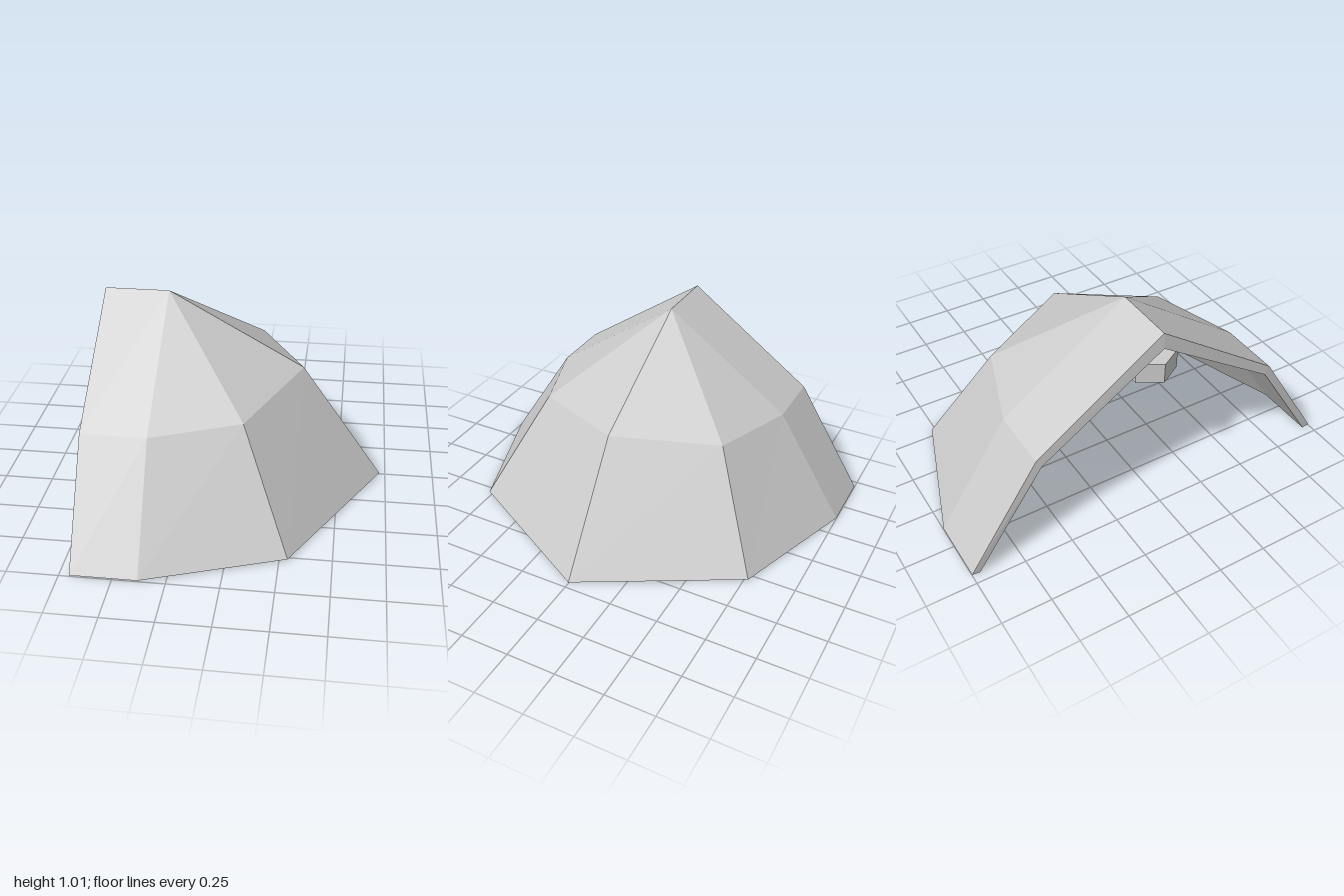
import * as THREE from 'three';

// Half of a cross-section row on the +z side, mirrored round the nose to seven stations
function mirrorRow(half) {
  const back = half.slice(0, 3).reverse().map(([x, y, z]) => [x, y, -z]);
  return [...half, ...back];
}

// Rows from the ground up to the ridge
const outer = [
  [[-0.7, 0.006, 1], [-0.38, 0.006, 1], [0.29, 0.006, 0.77], [0.72, 0.006, 0]],
  [[-0.7, 0.555, 0.65], [-0.38, 0.555, 0.65], [0.05, 0.57, 0.5], [0.3, 0.62, 0]],
  [[-0.7, 1.01, 0], [-0.38, 1.01, 0], [-0.38, 1.01, 0], [-0.38, 1.01, 0]],
].map(mirrorRow);

const inner = [
  [[-0.7, 0, 0.96], [-0.39, 0, 0.96], [0.265, 0, 0.74], [0.675, 0, 0]],
  [[-0.705, 0.515, 0.625], [-0.39, 0.515, 0.625], [0.03, 0.53, 0.475], [0.265, 0.575, 0]],
  [[-0.708, 0.93, 0], [-0.39, 0.94, 0], [-0.39, 0.94, 0], [-0.39, 0.94, 0]],
].map(mirrorRow);

function shellGeometry() {
  const pos = [];
  const tri = (a, b, c) => {
    const [p, q, r] = [a, b, c].map((v) => new THREE.Vector3(...v));
    if (q.sub(p).cross(r.sub(p)).length() > 1e-7) pos.push(...a, ...b, ...c);
  };
  const quad = (a, b, c, d) => { tri(a, b, c); tri(a, c, d); };
  const last = outer[0].length - 1;

  for (let i = 0; i < last; i++) {
    for (let r = 0; r < 2; r++) {
      // outside and inside skins
      quad(outer[r][i], outer[r][i + 1], outer[r + 1][i + 1], outer[r + 1][i]);
      quad(inner[r][i], inner[r + 1][i], inner[r + 1][i + 1], inner[r][i + 1]);
    }
    // ground rim
    quad(outer[0][i], inner[0][i], inner[0][i + 1], outer[0][i + 1]);
  }
  // rim of the doorway
  for (let r = 0; r < 2; r++) {
    quad(outer[r][0], outer[r + 1][0], inner[r + 1][0], inner[r][0]);
    quad(outer[r][last], inner[r][last], inner[r + 1][last], outer[r + 1][last]);
  }

  const geo = new THREE.BufferGeometry();
  geo.setAttribute('position', new THREE.Float32BufferAttribute(pos, 3));
  geo.computeVertexNormals();
  return geo;
}

export function createModel() {
  const group = new THREE.Group();
  group.name = 'tent';
  const material = new THREE.MeshStandardMaterial({ color: 0xcccccc, flatShading: true });

  const shell = new THREE.Mesh(shellGeometry(), material);
  shell.name = 'tentShell';
  group.add(shell);

  // Six-sided lamp under the ridge, one corner poking out of the doorway
  const lamp = new THREE.Mesh(new THREE.CylinderGeometry(0.13, 0.13, 0.105, 6), material);
  lamp.name = 'hangingLamp';
  lamp.rotation.y = Math.PI / 2;
  lamp.position.set(-0.593, 0.798, 0);
  group.add(lamp);

  return group;
}
